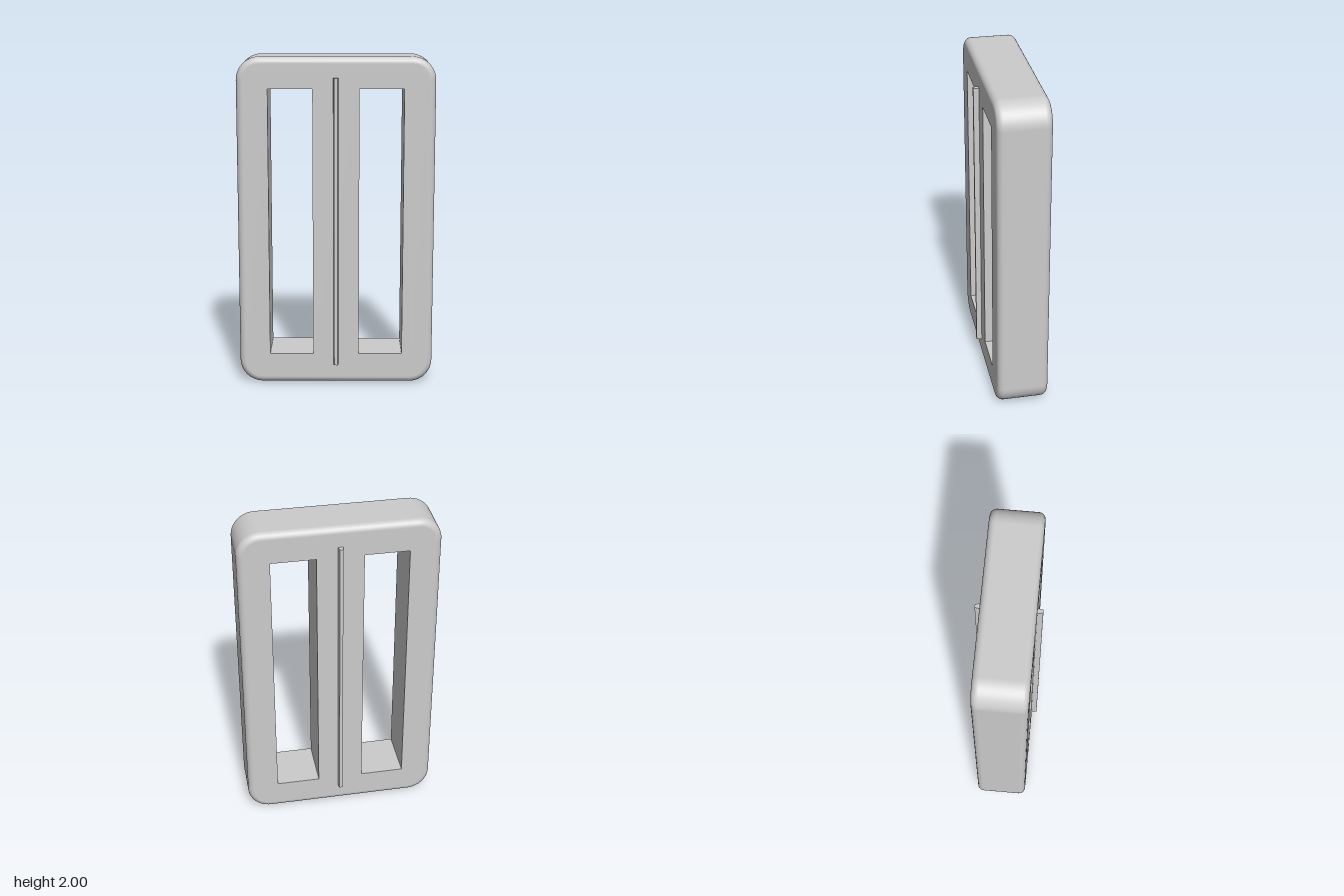
import * as THREE from 'three';

const W = 0.59, H = 1, D = 0.156;      // half width, half height, half depth
const R = 0.14, E = 0.04;              // corner radius, edge rounding
const HOLE = { x: 0.271, w: 0.264, h: 1.624 };
const RIDGE = { w: 0.032, tip: 0.02, h: 1.755, z: 0.188 };
const CORNER_STEPS = 12, EDGE_STEPS = 6;

// Directions and centres of the rounded outline, counter-clockwise
function outline() {
  const loop = [];
  [[1, 1], [-1, 1], [-1, -1], [1, -1]].forEach(([sx, sy], k) => {
    for (let i = 0; i <= CORNER_STEPS; i++) {
      const a = (k + i / CORNER_STEPS) * Math.PI / 2;
      loop.push({ cx: sx * (W - R), cy: sy * (H - R), dx: Math.cos(a), dy: Math.sin(a) });
    }
  });
  return loop;
}

// Outer band: the outline swept from back to front with rounded edges
function rimGeometry() {
  const loop = outline(), n = loop.length;
  const pos = [], nor = [], idx = [];
  const rows = [];
  for (const s of [-1, 1]) {
    for (let i = 0; i <= EDGE_STEPS; i++) {
      const t = i / EDGE_STEPS;
      const a = (s < 0 ? t - 1 : t) * Math.PI / 2;
      rows.push({ c: Math.cos(a), s: Math.sin(a), z: s * (D - E) + E * Math.sin(a) });
    }
  }
  rows.forEach((row, i) => {
    const r = R - E + E * row.c;
    loop.forEach((p, j) => {
      pos.push(p.cx + r * p.dx, p.cy + r * p.dy, row.z);
      nor.push(p.dx * row.c, p.dy * row.c, row.s);
      if (i < rows.length - 1) {
        const k = (j + 1) % n, a = i * n + j, b = i * n + k;
        idx.push(a, b, b + n, a, b + n, a + n);
      }
    });
  });
  const g = new THREE.BufferGeometry();
  g.setAttribute('position', new THREE.Float32BufferAttribute(pos, 3));
  g.setAttribute('normal', new THREE.Float32BufferAttribute(nor, 3));
  g.setIndex(idx);
  return g;
}

// Flat face with the two slots cut out
function faceGeometry() {
  const r = R - E;
  const shape = new THREE.Shape(outline().map(p => new THREE.Vector2(p.cx + r * p.dx, p.cy + r * p.dy)));
  for (const s of [-1, 1]) {
    const x0 = s * HOLE.x - HOLE.w / 2, x1 = x0 + HOLE.w, y = HOLE.h / 2;
    shape.holes.push(new THREE.Path([[x0, -y], [x0, y], [x1, y], [x1, -y]].map(p => new THREE.Vector2(...p))));
  }
  return new THREE.ShapeGeometry(shape).translate(0, 0, D);
}

// Four inward-facing walls of a slot: a box without its front and back
function slotGeometry() {
  const box = new THREE.BoxGeometry(HOLE.w, HOLE.h, 2 * D);
  box.setIndex(Array.from(box.index.array).slice(0, 24).reverse());
  box.clearGroups();
  const g = box.toNonIndexed();
  g.computeVertexNormals();
  return g;
}

// Thin ridge, narrower at its outer edge
function ridgeGeometry() {
  const z0 = D - 0.002;
  const box = new THREE.BoxGeometry(RIDGE.w, RIDGE.h, RIDGE.z - z0);
  const p = box.attributes.position;
  for (let i = 0; i < p.count; i++) {
    if (p.getZ(i) > 0) p.setX(i, Math.sign(p.getX(i)) * RIDGE.tip / 2);
  }
  box.computeVertexNormals();
  return box.translate(0, 0, (RIDGE.z + z0) / 2);
}

export function createModel() {
  const material = new THREE.MeshStandardMaterial({ color: 0xcccccc });
  const model = new THREE.Group();
  model.name = 'slottedBuckle';
  const add = (name, geometry) => {
    const mesh = new THREE.Mesh(geometry, material);
    mesh.name = name;
    mesh.position.y = H;
    model.add(mesh);
    return mesh;
  };

  add('outerRim', rimGeometry());

  // Front and back are alike
  for (const side of ['front', 'back']) {
    const turn = side === 'front' ? 0 : Math.PI;
    add(side + 'Face', faceGeometry()).rotation.y = turn;
    add(side + 'Ridge', ridgeGeometry()).rotation.y = turn;
  }

  // Slots either side of the central bar
  add('leftSlotWalls', slotGeometry()).position.x = HOLE.x;
  add('rightSlotWalls', slotGeometry()).position.x = -HOLE.x;

  return model;
}
